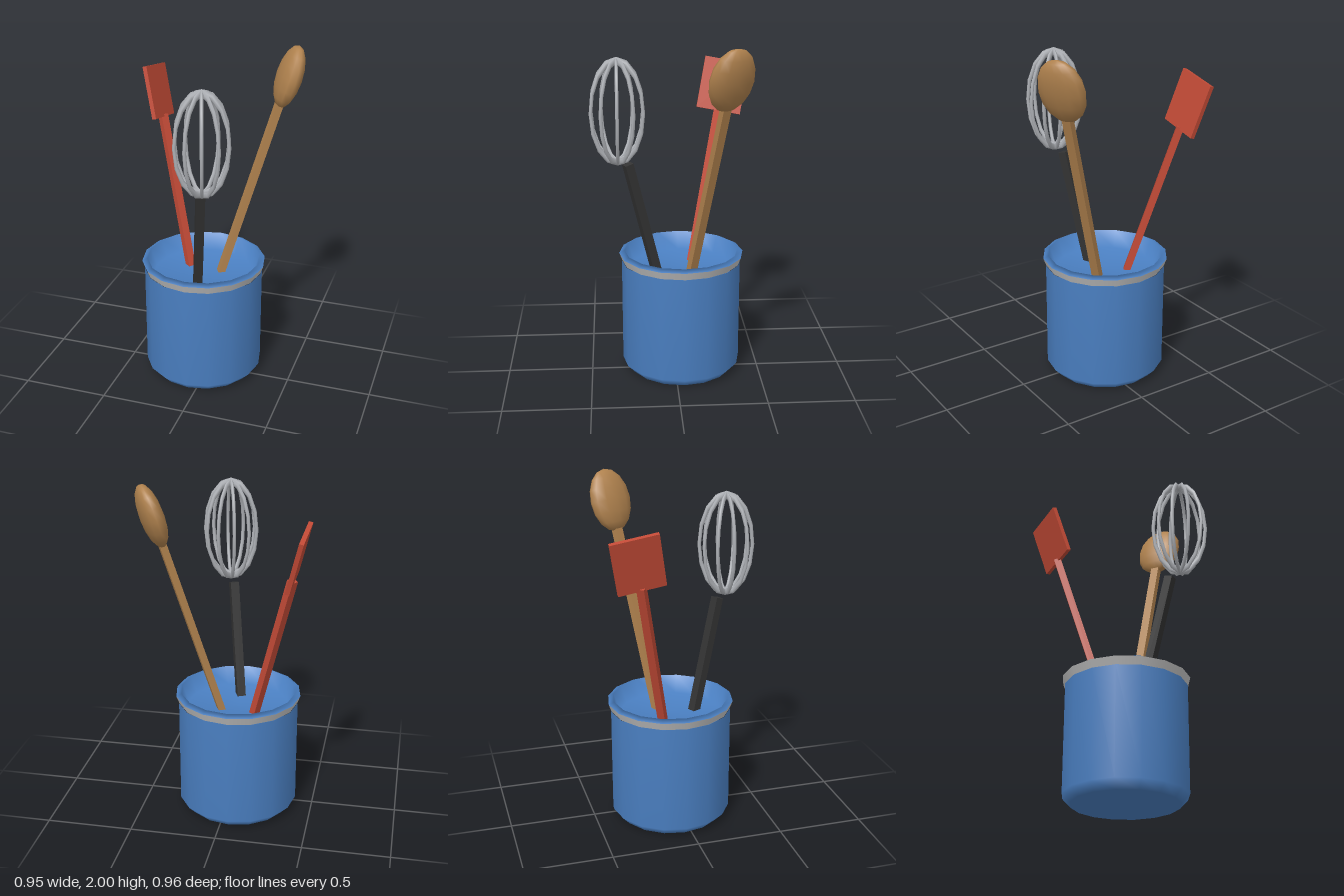
import * as THREE from 'three';

const mat = (name, color) => Object.assign(new THREE.MeshStandardMaterial({ color }), { name });

export function createModel() {
  const group = new THREE.Group();
  const blue = mat('blue glaze', 0x4a7fc1);
  const grey = mat('pale grey rim', 0xc4c4c4);
  const wood = mat('wood', 0xb0824e);
  const red = mat('red silicone', 0xc24a36);
  const black = mat('black grip', 0x333333);
  const metal = mat('whisk steel', 0xb0b3b8);

  const add = (name, geometry, material, parent = group) => {
    const mesh = new THREE.Mesh(geometry, material);
    mesh.name = name;
    parent.add(mesh);
    return mesh;
  };

  // Turn a mesh so its y axis follows dir and its x axis lies close to side
  const align = (mesh, dir, side) => {
    const y = dir.clone().normalize();
    const z = new THREE.Vector3().crossVectors(side, y).normalize();
    const x = new THREE.Vector3().crossVectors(y, z);
    mesh.quaternion.setFromRotationMatrix(new THREE.Matrix4().makeBasis(x, y, z));
  };

  // Horizontal direction at right angles to a lean
  const across = (dir) => new THREE.Vector3(-dir.z, 0, dir.x).normalize();

  // Square stick ending at top, leaning along dir, sunk into the jar's filling
  const stick = (name, top, dir, width, depth, material) => {
    const bottom = top.clone().addScaledVector(dir, (0.55 - top.y) / dir.y);
    const mesh = add(name, new THREE.BoxGeometry(width, top.distanceTo(bottom), depth), material);
    mesh.position.copy(top).add(bottom).multiplyScalar(0.5);
    align(mesh, dir, across(dir));
  };

  // Jar
  const jar = new THREE.Group();
  jar.name = 'jar';
  jar.position.set(-0.05, 0, -0.04);
  group.add(jar);
  const turned = (name, profile, material) =>
    add(name, new THREE.LatheGeometry(profile.map(([r, y]) => new THREE.Vector2(r, y)), 16), material, jar);
  turned('jarBody', [[0, 0], [0.305, 0], [0.352, 0.05], [0.352, 0.68]], blue);
  turned('jarRim', [[0.35, 0.68], [0.367, 0.725]], grey);
  turned('jarMouth', [[0.367, 0.725], [0.335, 0.74], [0.3, 0.635], [0, 0.63]], blue);

  // Wooden spoon
  const spoonDir = new THREE.Vector3(0.28, 1, -0.15);
  stick('spoonHandle', new THREE.Vector3(0.338, 1.69, -0.254), spoonDir, 0.05, 0.04, wood);
  const bowl = add('spoonBowl', new THREE.SphereGeometry(1, 12, 8), wood);
  bowl.position.set(0.378, 1.825, -0.275);
  bowl.scale.set(0.141, 0.182, 0.065);
  align(bowl, spoonDir, across(spoonDir));

  // Spatula
  const spatulaDir = new THREE.Vector3(-0.257, 1, -0.2);
  stick('spatulaHandle', new THREE.Vector3(-0.386, 1.515, -0.29), spatulaDir, 0.045, 0.04, red);
  const blade = add('spatulaBlade', new THREE.BoxGeometry(0.265, 0.31, 0.025), red);
  blade.position.set(-0.42, 1.65, -0.314);
  align(blade, spatulaDir, new THREE.Vector3(0.02, -0.058, -0.255));

  // Whisk: grip and five crossed wire loops
  stick('whiskHandle', new THREE.Vector3(0.035, 1.29, 0.27), new THREE.Vector3(0.11, 1, 0.24), 0.05, 0.05, black);
  const cage = new THREE.Group();
  cage.name = 'whiskCage';
  cage.position.set(0.063, 1.598, 0.327);
  cage.scale.y = 1.88;
  group.add(cage);
  const loop = new THREE.TorusGeometry(0.153, 0.0105, 6, 16);
  for (let i = 0; i < 5; i++) add('whiskWire', loop, metal, cage).rotation.y = (i * Math.PI) / 5;

  return group;
}
